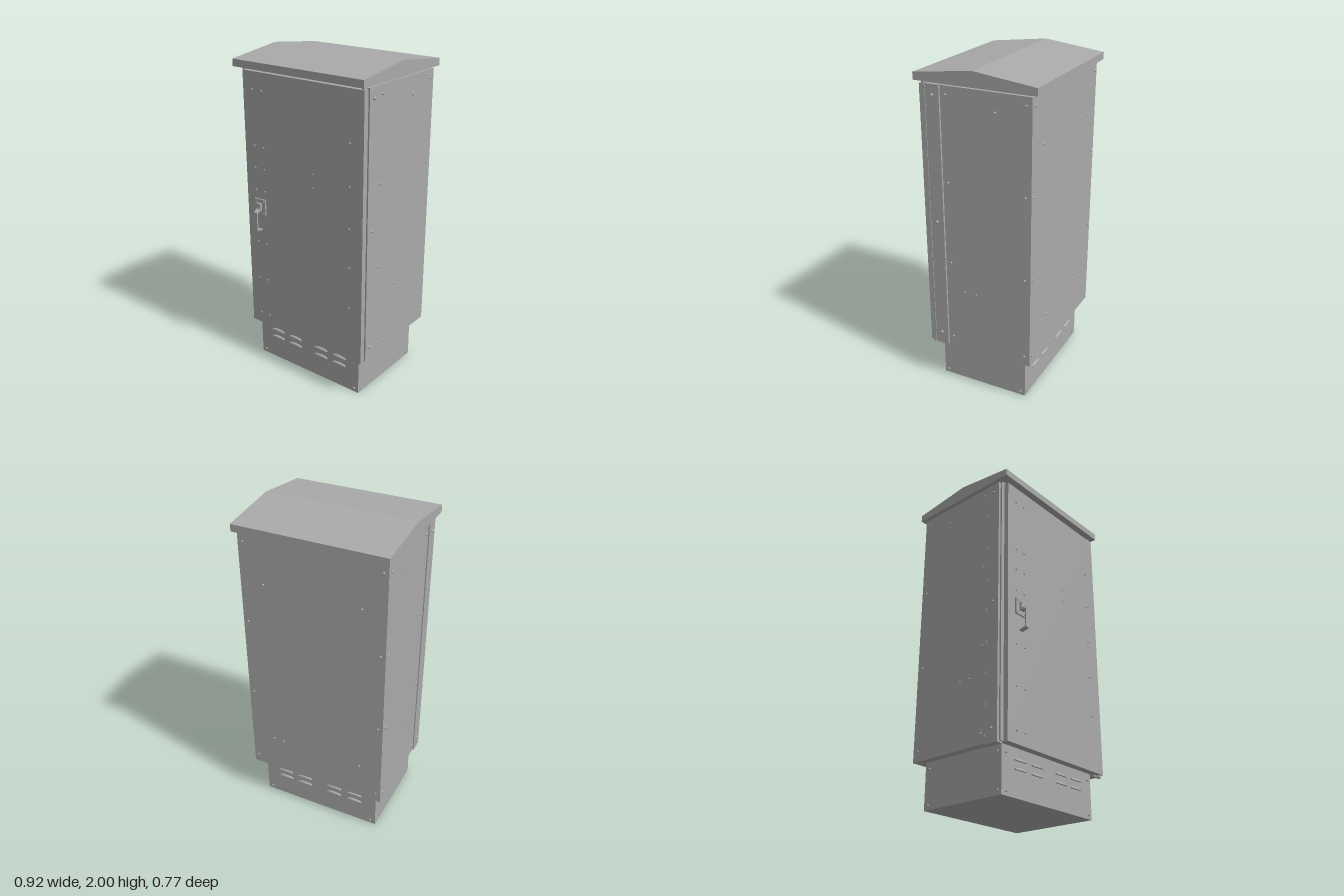
import * as THREE from 'three';

export function createModel() {
  const model = new THREE.Group();
  const metal = new THREE.MeshStandardMaterial({ color: 0xaaaaaa });
  metal.name = 'grey painted metal';

  const add = (name, geometry, parent = model) => {
    const mesh = new THREE.Mesh(geometry, metal);
    mesh.name = name;
    parent.add(mesh);
    return mesh;
  };
  // Box given by its extents along each axis
  const box = (name, x0, x1, y0, y1, z0, z1, parent) => {
    const mesh = add(name, new THREE.BoxGeometry(x1 - x0, y1 - y0, z1 - z0), parent);
    mesh.position.set((x0 + x1) / 2, (y0 + y1) / 2, (z0 + z1) / 2);
    return mesh;
  };

  // Plinth, cabinet and front frame
  box('plinth', -0.395, 0.39, 0, 0.275, -0.29, 0.275);
  box('cabinet', -0.445, 0.445, 0.27, 1.9, -0.345, 0.202);
  box('frameCore', -0.435, 0.435, 0.27, 1.9, 0.2, 0.302);
  box('roofCollar', -0.425, 0.425, 1.89, 1.92, -0.325, 0.3);
  for (const s of [-1, 1]) {
    const post = box('framePost', -0.02, 0.02, 0.26, 1.9, 0.207, 0.292);
    post.position.x = s * 0.43;
  }

  // Door with folded edges and hinge pins
  box('door', -0.412, 0.445, 0.265, 1.895, 0.298, 0.332);
  for (const y of [0.26, 1.9]) {
    const pin = add('hingePin', new THREE.CylinderGeometry(0.013, 0.013, 0.024, 16));
    pin.position.set(0.428, y, 0.312);
  }

  // Shallow gabled roof, extruded along x
  const gable = new THREE.Shape([[-0.36, 1.912], [0.38, 1.912], [0.38, 1.955], [0.005, 2], [-0.36, 1.955]]
    .map(([x, y]) => new THREE.Vector2(x, y)));
  const roof = add('roof', new THREE.ExtrudeGeometry(gable, { depth: 0.92, bevelEnabled: false }));
  roof.rotation.y = Math.PI / 2;
  roof.position.x = -0.46;

  // Pressed louvres on the front and back of the plinth
  const louvreGeometry = new THREE.SphereGeometry(1, 16, 8, 0, Math.PI * 2, 0, Math.PI / 2);
  louvreGeometry.scale(0.05, 0.012, 0.012);
  const louvres = new THREE.Group();
  louvres.name = 'louvres';
  model.add(louvres);
  for (const z of [-0.29, 0.275]) {
    for (const x of [-0.248, -0.105, 0.105, 0.245]) {
      for (const y of [0.153, 0.203]) {
        add('louvre', louvreGeometry, louvres).position.set(x, y, z);
        box('louvreLip', x - 0.048, x + 0.048, y - 0.003, y + 0.002, z - 0.01, z + 0.01, louvres);
      }
    }
  }

  // Domed bolt heads, facing outward on each panel
  const boltGeometry = new THREE.SphereGeometry(0.008, 10, 5, 0, Math.PI * 2, 0, Math.PI / 2);
  boltGeometry.rotateX(Math.PI / 2);
  const bolts = new THREE.Group();
  bolts.name = 'bolts';
  model.add(bolts);
  const bolt = (x, y, z, turn, size = 1) => {
    const mesh = add('bolt', boltGeometry, bolts);
    mesh.position.set(x, y, z);
    mesh.rotation.y = turn;
    mesh.scale.setScalar(size);
  };
  const rows = [0.33, 0.84, 1.345, 1.85];

  // Door bolts
  for (const x of [-0.34, -0.27]) {
    for (const y of [0.34, 0.59, 0.84, 1.18, 1.32, 1.455, 1.79]) bolt(x, y, 0.332, 0, 0.8);
  }
  for (const y of [0.61, 0.865, 1.105, 1.355, 1.6]) bolt(0.355, y, 0.332, 0, 0.8);
  for (const y of [1.29, 1.37]) bolt(0.1, y, 0.332, 0, 0.7);

  // Side, post and plinth bolts
  for (const s of [-1, 1]) {
    const turn = s * Math.PI / 2;
    for (const z of [0.17, -0.31]) for (const y of rows) bolt(s * 0.445, y, z, turn);
    for (const y of [0.34, 1.09, 1.84]) bolt(s * 0.45, y, 0.25, turn, 1.3);
    bolt(s * 0.445, 1.79, -0.13, turn);
    for (const z of [0.005, 0.08]) bolt(s * 0.445, 0.665, z, turn, 0.8);
    for (const z of [0.25, -0.26]) {
      for (const y of [0.025, 0.23]) bolt(s > 0 ? 0.39 : -0.395, y, z, turn);
    }
    for (const y of [0.025, 0.23]) {
      bolt(s * 0.36, y, 0.275, 0);
      bolt(s * 0.36, y, -0.29, Math.PI);
    }
  }

  // Back bolts
  for (const x of [-0.415, 0.415]) for (const y of rows) bolt(x, y, -0.345, Math.PI);
  for (const x of [-0.3, 0.3]) bolt(x, 1.61, -0.345, Math.PI);
  for (const x of [-0.3, 0.22, 0.29]) bolt(x, 0.51, -0.345, Math.PI);

  // Door handle: mounting plate, pivot block and bent flat lever
  const handle = new THREE.Group();
  handle.name = 'handle';
  model.add(handle);
  box('handlePlate', -0.35, -0.266, 1.027, 1.128, 0.33, 0.342, handle);
  box('handlePivot', -0.325, -0.292, 1.055, 1.105, 0.34, 0.358, handle);
  const lever = new THREE.Shape([
    [0.34, 1.105], [0.352, 1.105], [0.36, 1.07], [0.386, 1.055], [0.386, 0.938], [0.338, 0.928],
    [0.338, 0.936], [0.377, 0.945], [0.377, 1.048], [0.35, 1.058], [0.34, 1.08],
  ].map(([z, y]) => new THREE.Vector2(-z, y)));
  const leverMesh = add('handleLever',
    new THREE.ExtrudeGeometry(lever, { depth: 0.025, bevelEnabled: false }), handle);
  leverMesh.rotation.y = Math.PI / 2;
  leverMesh.position.x = -0.32;
  for (const x of [-0.338, -0.278]) for (const y of [1.04, 1.115]) bolt(x, y, 0.342, 0, 0.6);

  return model;
}
